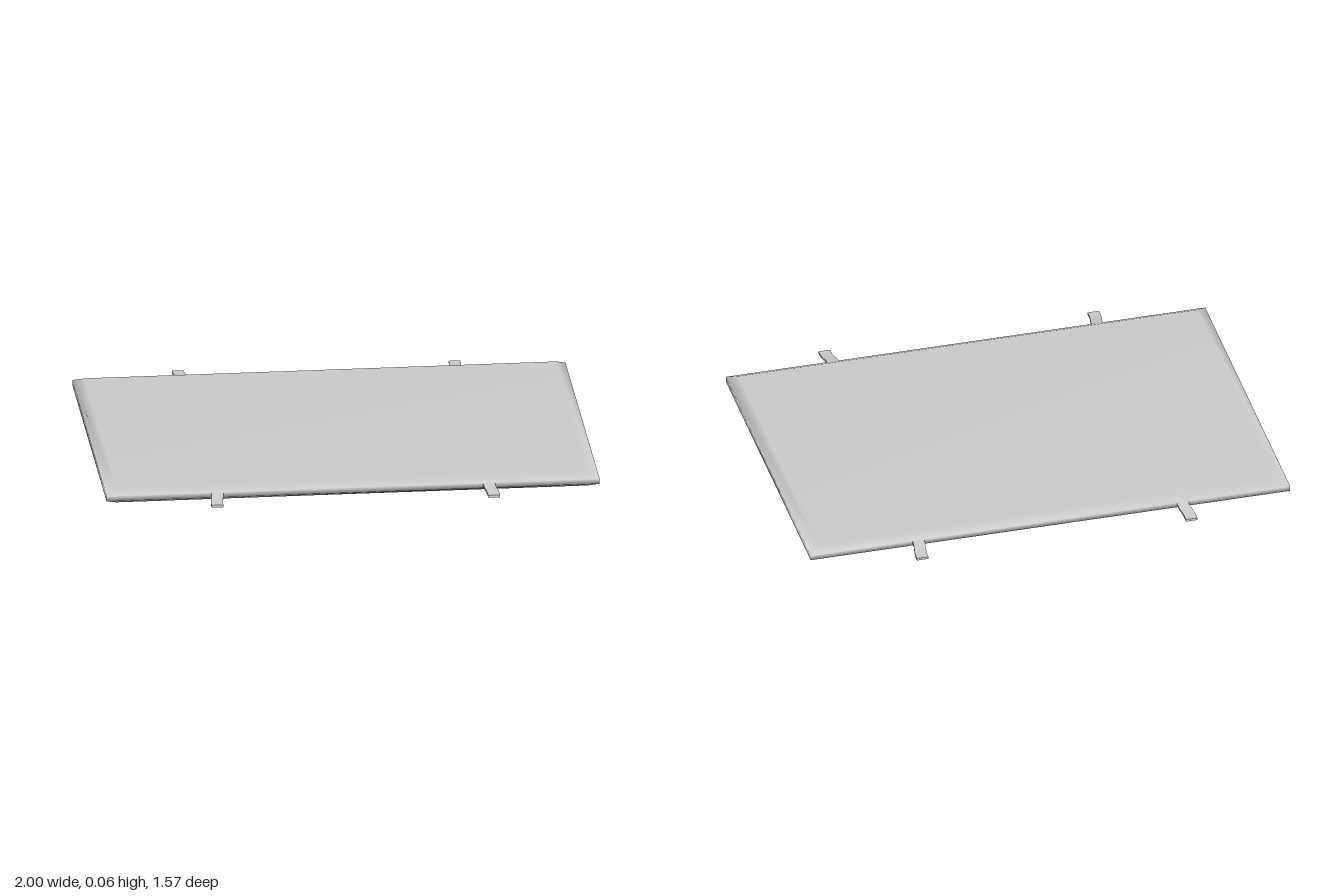
import * as THREE from 'three';

const material = new THREE.MeshStandardMaterial({ color: 0xcccccc });

// Smooth padded slab: four rectangular rings, narrowed at top and bottom
function panelGeometry() {
  const rings = [[0.956, 0.64, 0], [1, 0.676, 0.019], [1, 0.676, 0.041], [0.956, 0.64, 0.06]];
  const positions = [], index = [];
  for (const [x, z, y] of rings) positions.push(-x, y, z, x, y, z, x, y, -z, -x, y, -z);
  for (let r = 0; r < rings.length - 1; r++) {
    for (let i = 0; i < 4; i++) {
      const a = r * 4 + i, b = r * 4 + (i + 1) % 4;
      index.push(a, b, b + 4, a, b + 4, a + 4);
    }
  }
  index.push(12, 13, 14, 12, 14, 15, 0, 2, 1, 0, 3, 2);
  const geometry = new THREE.BufferGeometry();
  geometry.setAttribute('position', new THREE.Float32BufferAttribute(positions, 3));
  geometry.setIndex(index);
  geometry.computeVertexNormals();
  return geometry;
}

// Flat strap bent along a centre line, drawn for the +x, +z corner
function strapGeometry(sx, sz) {
  const path = [[0.549, 0.037, 0.65], [0.551, 0.034, 0.68], [0.553, 0.029, 0.705],
    [0.558, 0.025, 0.73], [0.561, 0.022, 0.755], [0.561, 0.021, 0.783]];
  const steps = path.length - 1;
  const geometry = new THREE.BoxGeometry(0.048, 0.01, 1, 1, 1, steps);
  const p = geometry.attributes.position;
  for (let i = 0; i < p.count; i++) {
    // Reversing the path keeps the faces outward on the mirrored side
    const t = Math.round((p.getZ(i) * sz + 0.5) * steps);
    const [x, y, z] = path[t];
    p.setXYZ(i, x * sx + p.getX(i), y + p.getY(i), z * sz);
  }
  geometry.computeVertexNormals();
  return geometry;
}

export function createModel() {
  const group = new THREE.Group();
  group.name = 'paddedPanel';

  const panel = new THREE.Mesh(panelGeometry(), material);
  panel.name = 'panel';
  group.add(panel);

  // Two straps on the front edge and two on the back
  for (const sz of [1, -1]) {
    for (const sx of [1, -1]) {
      const strap = new THREE.Mesh(strapGeometry(sx, sz), material);
      strap.name = (sz > 0 ? 'front' : 'back') + (sx > 0 ? 'Left' : 'Right') + 'Strap';
      group.add(strap);
    }
  }
  return group;
}
